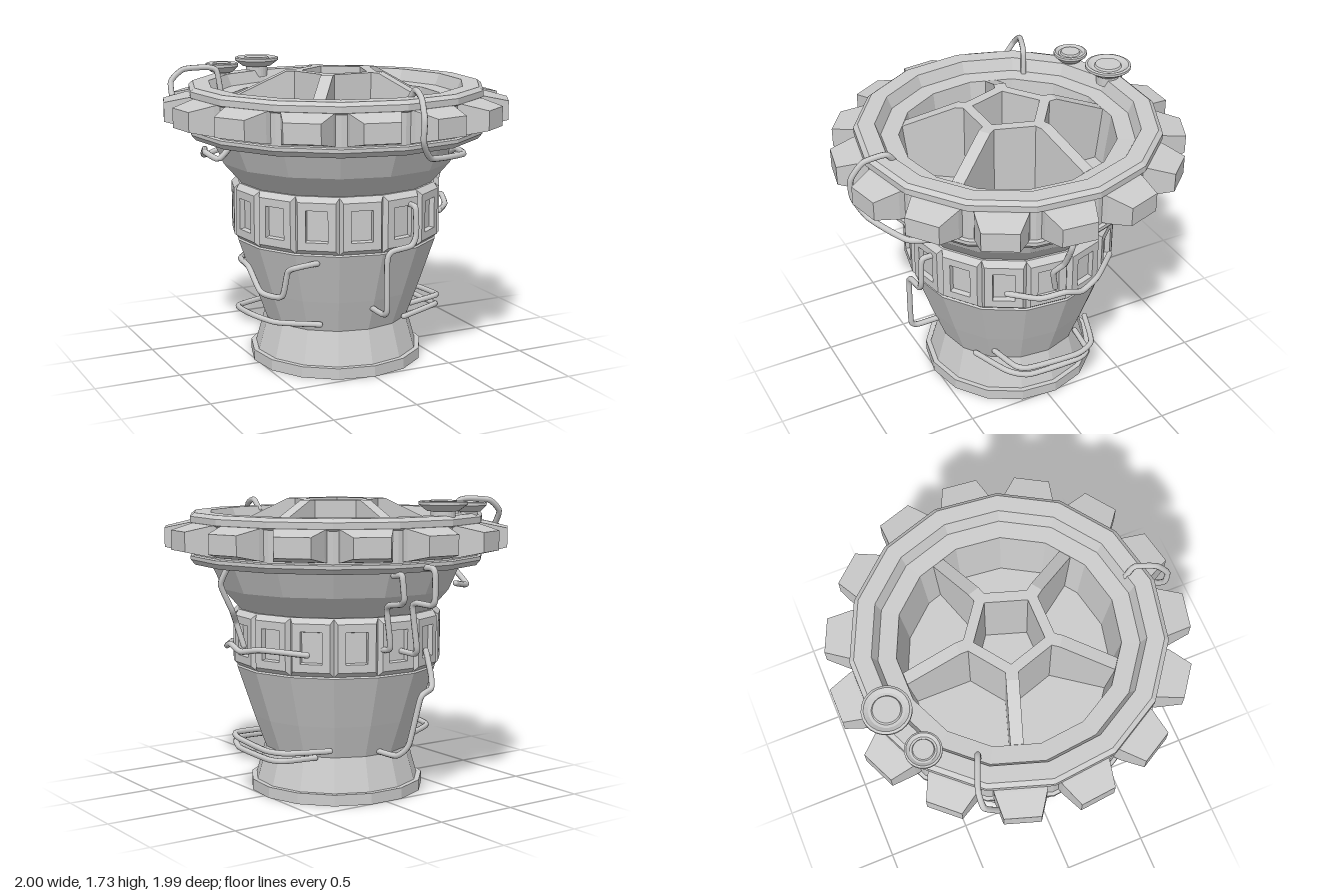
import * as THREE from 'three';

const SIDES = 15;
const flat = new THREE.MeshStandardMaterial({ color: 0xcccccc, flatShading: true });
const smooth = new THREE.MeshStandardMaterial({ color: 0xcccccc });

function add(parent, name, geometry, material = flat) {
  const mesh = new THREE.Mesh(geometry, material);
  mesh.name = name;
  parent.add(mesh);
  return mesh;
}

const lathe = (profile, sides) =>
  new THREE.LatheGeometry(profile.map(([r, y]) => new THREE.Vector2(r, y)), sides);

// Nested rectangles [width, height, z] joined into a stepped block, closed at the last one
function steppedBlock(sections) {
  const pos = [], index = [];
  for (const [w, h, z] of sections) {
    for (const [sx, sy] of [[-1, -1], [1, -1], [1, 1], [-1, 1]]) pos.push(sx * w / 2, sy * h / 2, z);
  }
  for (let s = 0; s < sections.length - 1; s++) {
    for (let k = 0; k < 4; k++) {
      const a = s * 4 + k, b = s * 4 + (k + 1) % 4;
      index.push(a, b, b + 4, a, b + 4, a + 4);
    }
  }
  const e = (sections.length - 1) * 4;
  index.push(e, e + 1, e + 2, e, e + 2, e + 3);
  const g = new THREE.BufferGeometry();
  g.setAttribute('position', new THREE.Float32BufferAttribute(pos, 3));
  g.setIndex(index);
  g.computeVertexNormals();
  return g;
}

// One copy centred on every face of the fifteen-sided body
function onEachFace(parent, name, geometry, y) {
  const group = new THREE.Group();
  group.name = name + 's';
  for (let i = 0; i < SIDES; i++) {
    const mesh = add(group, name, geometry);
    mesh.position.y = y;
    mesh.rotation.y = (i + 0.5) * 2 * Math.PI / SIDES;
  }
  parent.add(group);
}

function pentagon(PathType, r) {
  const pts = [];
  for (let i = 0; i < 5; i++) {
    const a = Math.PI / 2 + i * 2 * Math.PI / 5;
    pts.push(new THREE.Vector2(r * Math.cos(a), r * Math.sin(a)));
  }
  return new PathType(pts);
}

// Bent pipe with rounded ends
function cable(parent, name, points) {
  const group = new THREE.Group();
  group.name = name;
  const pts = points.map(p => new THREE.Vector3(...p));
  const curve = new THREE.CatmullRomCurve3(pts, false, 'catmullrom', 0.3);
  add(group, 'pipe', new THREE.TubeGeometry(curve, points.length * 8, 0.017, 8), smooth);
  for (const p of [pts[0], pts[pts.length - 1]]) {
    add(group, 'pipeEnd', new THREE.SphereGeometry(0.017, 8, 6), smooth).position.copy(p);
  }
  parent.add(group);
}

export function createModel() {
  const model = new THREE.Group();
  model.name = 'pedestal';

  // Foot, tapered body, rim and hollow bowl in a single turned profile
  add(model, 'body', lathe([
    [0, 0], [0.515, 0], [0.515, 0.065], [0.485, 0.065], [0.43, 0.26], [0.5, 0.45],
    [0.6, 0.745], [0.585, 0.76], [0.575, 1.08], [0.68, 1.2], [0.745, 1.345],
    [0.84, 1.345], [0.865, 1.375], [0.865, 1.395], [0.845, 1.4], [0.845, 1.575],
    [0.865, 1.585], [0.865, 1.62], [0.84, 1.64], [0.745, 1.64], [0.715, 1.57],
    [0.615, 1.565], [0.575, 1.25], [0, 1.25],
  ], SIDES));

  // Window panels round the waist and blocks round the rim
  onEachFace(model, 'windowPanel', steppedBlock([
    [0.25, 0.33, 0.555], [0.25, 0.33, 0.575], [0.215, 0.27, 0.608],
    [0.125, 0.18, 0.608], [0.12, 0.17, 0.578],
  ]), 0.915);
  onEachFace(model, 'rimBlock', steppedBlock([
    [0.29, 0.18, 0.82], [0.28, 0.17, 0.86], [0.2, 0.11, 0.995],
  ]), 1.497);

  // Five-sided hollow hub
  const hubShape = pentagon(THREE.Shape, 0.27);
  hubShape.holes.push(pentagon(THREE.Path, 0.2));
  const hub = new THREE.ExtrudeGeometry(hubShape, { depth: 0.46, bevelEnabled: false });
  hub.rotateX(-Math.PI / 2).translate(0, 1.25, 0);
  add(model, 'hub', hub);

  // Sloping spokes from the hub corners to the bowl wall
  const spokeShape = new THREE.Shape([
    [0.22, 1.25], [0.57, 1.25], [0.6, 1.565], [0.29, 1.71], [0.22, 1.71],
  ].map(p => new THREE.Vector2(...p)));
  const spoke = new THREE.ExtrudeGeometry(spokeShape, { depth: 0.07, bevelEnabled: false });
  spoke.translate(0, 0, -0.035);
  for (let i = 0; i < 5; i++) {
    add(model, 'spoke', spoke).rotation.y = Math.PI / 2 + i * 2 * Math.PI / 5;
  }

  // Two small dishes on the back of the rim
  for (const [x, z, r, top] of [[-0.45, -0.66, 0.1, 1.705], [-0.18, -0.76, 0.135, 1.72]]) {
    const dish = add(model, 'dish', lathe([
      [0, -0.12], [0.5 * r, -0.12], [0.5 * r, -0.055], [0.65 * r, -0.055], [r, -0.02], [r, -0.005],
      [0.9 * r, 0], [0.72 * r, -0.012], [0.6 * r, -0.012], [0.55 * r, 0], [0, 0],
    ], 24));
    dish.position.set(x, top, z);
  }

  // Loose cables around the outside
  cable(model, 'frontRimCable', [[0.08, 1.62, 0.73], [0.09, 1.68, 0.78], [0.06, 1.65, 0.9],
    [0.04, 1.55, 0.97], [0.04, 1.43, 0.965], [0.12, 1.33, 0.91], [0.38, 1.315, 0.8],
    [0.45, 1.31, 0.62], [0.46, 1.28, 0.53]]);
  cable(model, 'rightRimCable', [[-0.56, 1.57, -0.4], [-0.58, 1.69, -0.41], [-0.63, 1.71, -0.43],
    [-0.76, 1.7, -0.48], [-0.84, 1.63, -0.48], [-0.85, 1.5, -0.39], [-0.78, 1.45, -0.35]]);
  cable(model, 'rightNeckCable', [[-0.53, 1.22, -0.46], [-0.68, 1.2, -0.38], [-0.76, 1.28, -0.15],
    [-0.85, 1.31, 0.1], [-0.8, 1.28, 0.18], [-0.72, 1.37, 0.2]]);
  cable(model, 'leftNeckCable', [[0.74, 1.36, -0.02], [0.77, 1.25, 0.02], [0.7, 1.1, 0.02],
    [0.65, 1.02, 0.06], [0.62, 0.89, 0.03]]);
  cable(model, 'leftWaistCable', [[0.54, 0.88, 0.29], [0.66, 0.88, 0.15], [0.71, 0.91, 0.02],
    [0.71, 0.88, -0.09], [0.66, 0.9, -0.22], [0.48, 0.88, -0.41]]);
  cable(model, 'frontCable', [[0.18, 1.01, 0.57], [0.18, 1, 0.64], [0.18, 0.85, 0.65],
    [0.15, 0.79, 0.65], [0.03, 0.77, 0.65], [0, 0.72, 0.65], [0, 0.44, 0.65],
    [0, 0.4, 0.61], [0, 0.4, 0.46]]);
  cable(model, 'lowerLeftCableA', [[0.36, 0.33, 0.28], [0.55, 0.34, 0.24], [0.59, 0.33, 0.16],
    [0.59, 0.31, -0.15], [0.53, 0.31, -0.28], [0.3, 0.31, -0.37]]);
  cable(model, 'lowerLeftCableB', [[0.27, 0.28, 0.36], [0.52, 0.3, 0.28], [0.58, 0.27, 0.16],
    [0.58, 0.26, -0.16], [0.53, 0.26, -0.25], [0.34, 0.26, -0.28]]);
  cable(model, 'lowerRightCable', [[-0.36, 0.31, -0.27], [-0.57, 0.32, -0.15], [-0.59, 0.34, 0.1],
    [-0.5, 0.32, 0.25], [-0.28, 0.31, 0.37]]);
  cable(model, 'rightBodyCable', [[-0.34, 0.7, 0.46], [-0.46, 0.69, 0.46], [-0.5, 0.66, 0.42],
    [-0.52, 0.51, 0.38], [-0.59, 0.51, 0.25], [-0.6, 0.62, 0.1], [-0.57, 0.62, -0.1],
    [-0.45, 0.58, -0.33]]);
  cable(model, 'backPipeA', [[0, 1.37, -0.81], [0, 1.37, -0.9], [0, 1.34, -0.92],
    [0, 1.2, -0.92], [0, 1.17, -0.89], [0, 1.17, -0.76], [0, 1.14, -0.73],
    [-0.03, 0.92, -0.73], [-0.04, 0.88, -0.7], [-0.04, 0.88, -0.58]]);
  cable(model, 'backPipeB', [[0.17, 1.33, -0.78], [0.17, 1.34, -0.85], [0.17, 1.31, -0.86],
    [0.16, 1.21, -0.86], [0.15, 1.18, -0.82], [0.14, 1.16, -0.7], [0.13, 1.12, -0.67],
    [0.1, 0.92, -0.66], [0.1, 0.9, -0.57]]);
  cable(model, 'backCable', [[-0.24, 0.86, -0.55], [-0.23, 0.73, -0.61], [-0.2, 0.66, -0.65],
    [-0.11, 0.62, -0.67], [-0.06, 0.35, -0.63], [-0.02, 0.28, -0.57], [0, 0.28, -0.43]]);

  return model;
}
